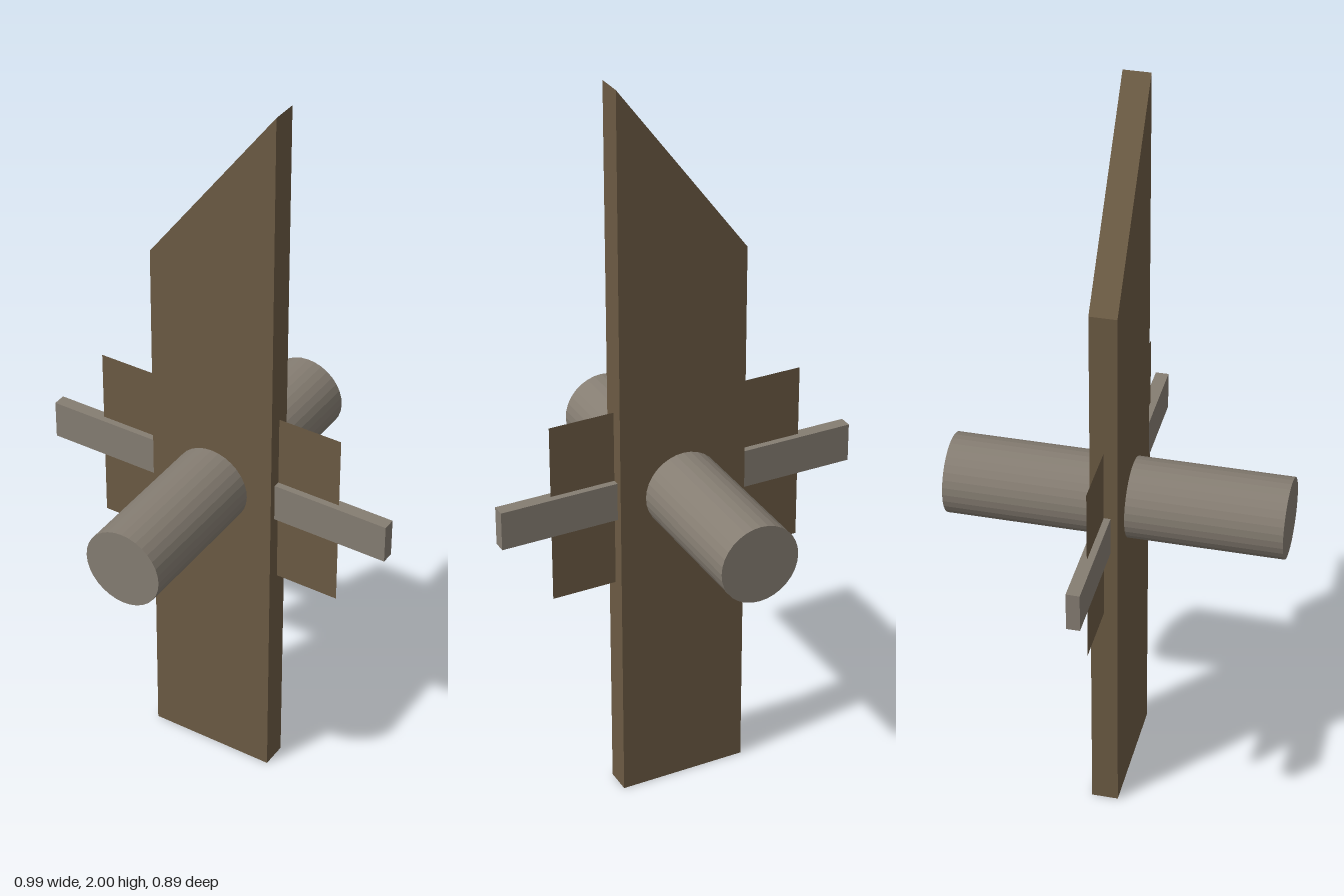
import * as THREE from 'three';

export function createModel() {
  const model = new THREE.Group();
  const wood = new THREE.MeshStandardMaterial({ name: 'brown wood', color: 0x6b5a43 });
  const sheet = new THREE.MeshStandardMaterial({ name: 'brown sheet', color: 0x6b5a43, side: THREE.DoubleSide });
  const metal = new THREE.MeshStandardMaterial({ name: 'warm grey', color: 0x857d72, flatShading: true });
  const hubY = 0.883;

  const add = (name, geometry, material, x = 0, y = 0, z = 0) => {
    const mesh = new THREE.Mesh(geometry, material);
    mesh.name = name;
    mesh.position.set(x, y, z);
    model.add(mesh);
    return mesh;
  };

  // Upright blade with a slanted top
  const halfW = 0.177, depth = 0.071;
  const outline = new THREE.Shape([
    new THREE.Vector2(-halfW, 0),
    new THREE.Vector2(halfW, 0),
    new THREE.Vector2(halfW, 2),
    new THREE.Vector2(-halfW, 1.525),
  ]);
  add('blade', new THREE.ExtrudeGeometry(outline, { depth, bevelEnabled: false }), wood, 0, 0, -depth / 2);

  // Paper-thin plate through the blade
  add('sidePlate', new THREE.PlaneGeometry(0.708, 0.497), sheet, 0, hubY, 0);

  // Flat bar across the blade
  add('crossBar', new THREE.BoxGeometry(0.994, 0.106, 0.035), metal, 0, hubY, 0);

  // Round axle running front to back
  const axle = new THREE.CylinderGeometry(0.106, 0.106, 0.886, 32).rotateX(Math.PI / 2);
  add('axle', axle, metal, 0, hubY, 0);

  return model;
}
